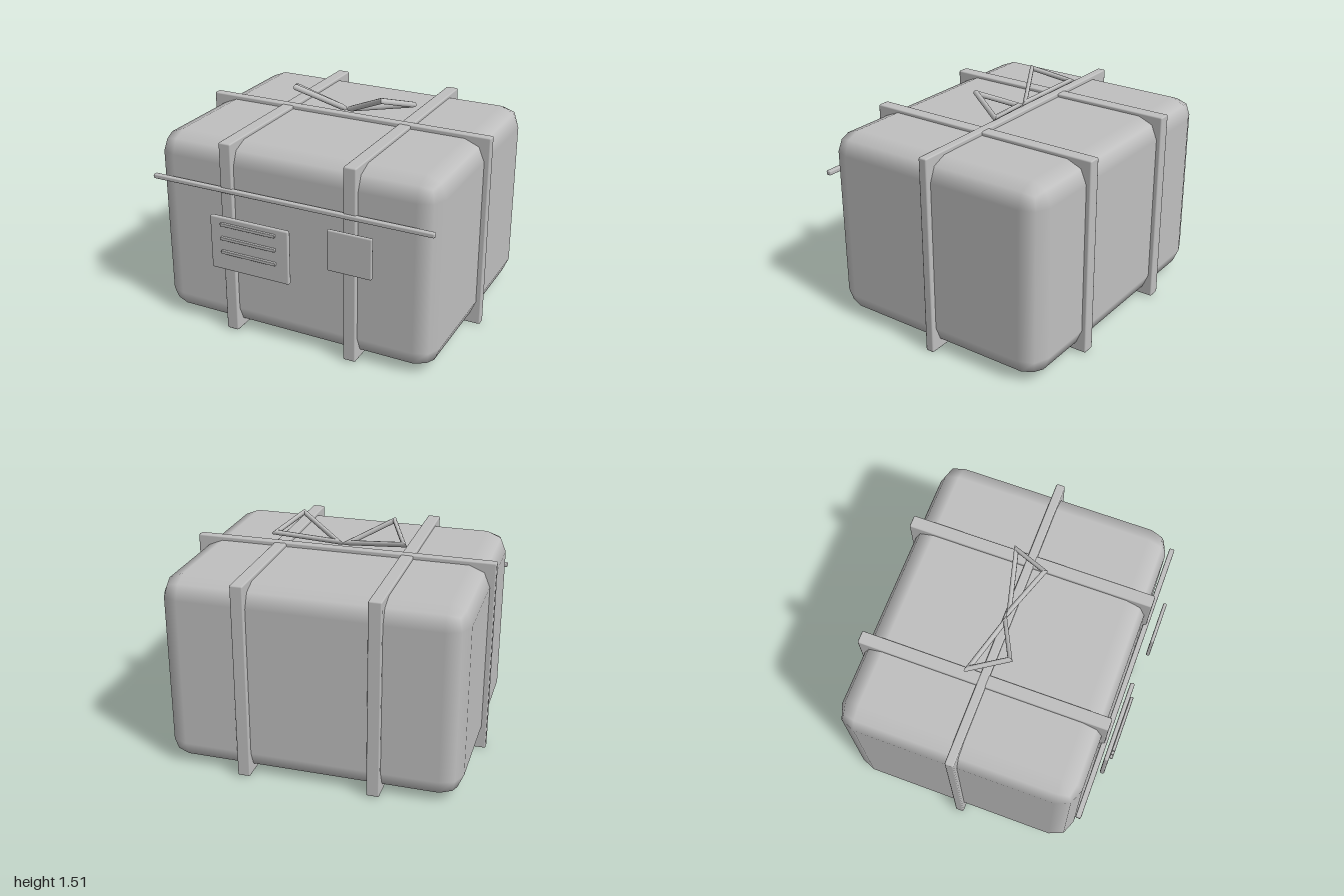
import * as THREE from 'three';
import { RoundedBoxGeometry } from 'three/addons/geometries/RoundedBoxGeometry.js';

const grey = new THREE.MeshStandardMaterial({ color: 0xc0c0c0 });
grey.name = 'plain grey';

// Softened box given by its low and high corners
function slab(name, [x0, y0, z0], [x1, y1, z1], radius) {
  const geometry = new RoundedBoxGeometry(x1 - x0, y1 - y0, z1 - z0, 1, radius);
  const mesh = new THREE.Mesh(geometry, grey);
  mesh.name = name;
  mesh.position.set((x0 + x1) / 2, (y0 + y1) / 2, (z0 + z1) / 2);
  return mesh;
}

// Closed triangular ribbon loop with mitred corners
function ribbonLoop(corners, halfWidth, halfDepth, sides = 8) {
  const rings = corners.map((p, i) => {
    const next = corners[(i + 1) % 3].clone().sub(p).normalize();
    const prev = corners[(i + 2) % 3].clone().sub(p).normalize();
    const out = next.clone().add(prev).normalize().negate();
    const normal = next.clone().cross(prev).normalize();
    const reach = halfWidth / Math.sin(next.angleTo(prev) / 2);
    return Array.from({ length: sides }, (_, j) => {
      const a = (j / sides) * Math.PI * 2;
      return p.clone()
        .addScaledVector(out, Math.cos(a) * reach)
        .addScaledVector(normal, Math.sin(a) * halfDepth);
    });
  });
  const positions = [], index = [];
  for (let i = 0; i < 3; i++) {
    // each edge keeps its own rings so the corners stay crisp
    const base = positions.length / 3;
    for (const ring of [rings[i], rings[(i + 1) % 3]])
      for (const v of ring) positions.push(v.x, v.y, v.z);
    for (let j = 0; j < sides; j++) {
      const k = (j + 1) % sides;
      const a = base + j, d = base + k, b = a + sides, c = d + sides;
      index.push(a, b, c, a, c, d);
    }
  }
  const geometry = new THREE.BufferGeometry();
  geometry.setAttribute('position', new THREE.Float32BufferAttribute(positions, 3));
  geometry.setIndex(index);
  geometry.computeVertexNormals();
  return geometry;
}

export function createModel() {
  const model = new THREE.Group();
  model.name = 'wrappedParcel';

  // Parcel body with generously rounded edges
  model.add(slab('parcelBody', [-0.965, 0.03, -0.83], [0.965, 1.295, 0.745], 0.135));

  // Straps: two front to back, one side to side
  for (const [name, x] of [['rightStrap', -0.427], ['leftStrap', 0.423]])
    model.add(slab(name, [x - 0.042, 0.01, -0.86], [x + 0.042, 1.317, 0.775], 0.01));
  model.add(slab('crossStrap', [-1, 0, -0.072], [1, 1.322, -0.014], 0.01));

  // Cord across the front
  model.add(slab('frontCord', [-0.965, 0.99, 0.755], [0.965, 1.02, 0.79], 0.008));

  // Address label with three raised lines
  const label = new THREE.Group();
  label.name = 'addressLabel';
  label.add(slab('labelPlate', [-0.52, 0.48, 0.803], [0.037, 0.845, 0.833], 0.01));
  for (const y of [0.803, 0.707, 0.612])
    label.add(slab('labelLine', [-0.436, y - 0.011, 0.833], [-0.047, y + 0.011, 0.854], 0.005));
  model.add(label);

  // Stamp
  model.add(slab('stamp', [0.315, 0.665, 0.836], [0.61, 0.937, 0.86], 0.01));

  // Bow of two mirrored loops
  const bow = new THREE.Group();
  bow.name = 'bow';
  for (const side of [-1, 1]) {
    const corners = [[0.035, 1.355, -0.045], [0.306, 1.49, 0.087], [0.422, 1.413, -0.14]]
      .map(([x, y, z]) => new THREE.Vector3(x * side, y, z));
    const loop = new THREE.Mesh(ribbonLoop(corners, 0.014, 0.019), grey);
    loop.name = side < 0 ? 'rightBowLoop' : 'leftBowLoop';
    bow.add(loop);
  }
  model.add(bow);
  return model;
}
